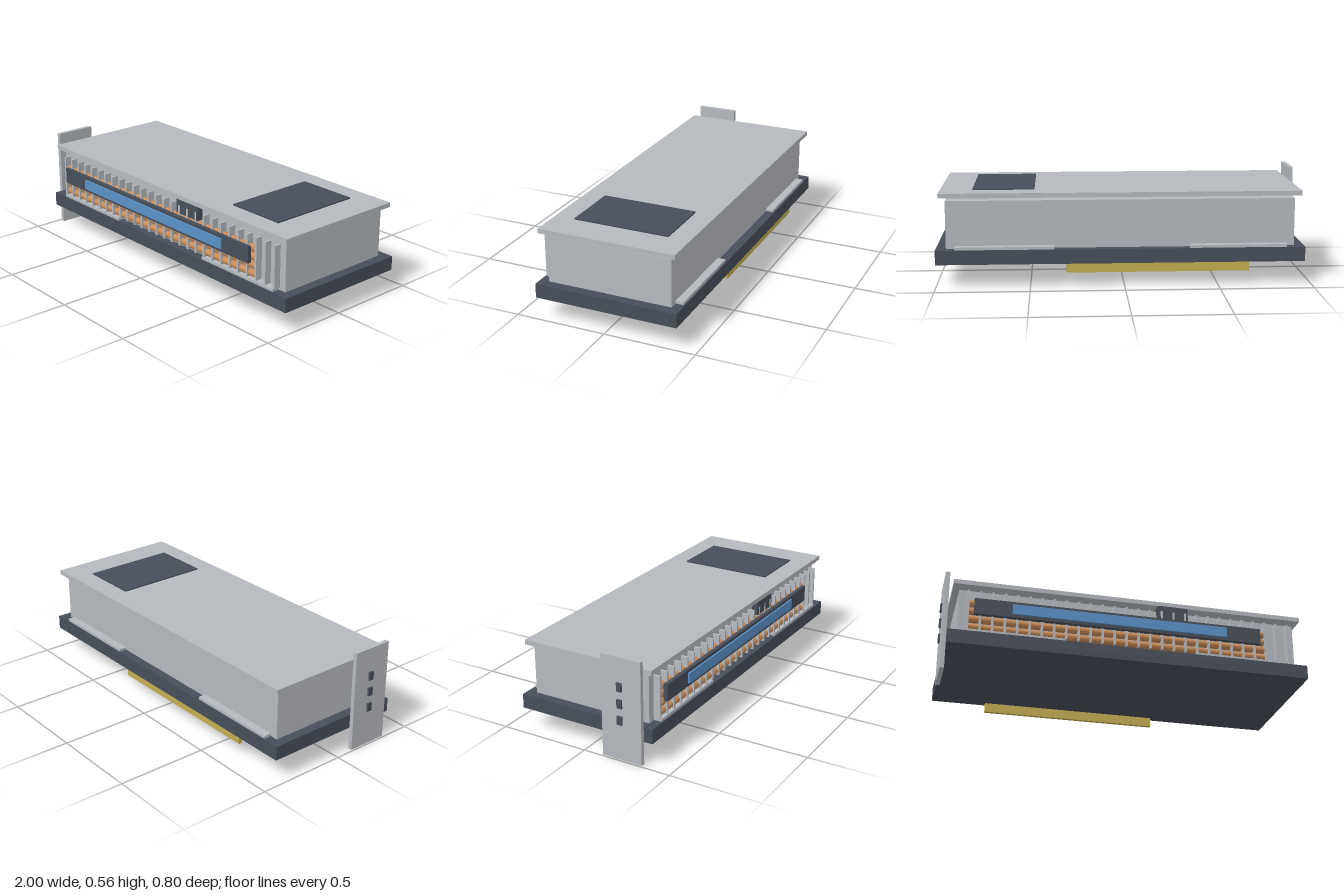
import * as THREE from 'three';

const material = (name, color) => {
  const m = new THREE.MeshStandardMaterial({ color });
  m.name = name;
  return m;
};

export function createModel() {
  const group = new THREE.Group();
  const silver = material('silver', 0xb5b9be);
  const slate = material('slate', 0x474e5a);
  const blue = material('blue', 0x5a92c8);
  const copper = material('copper', 0xc98a54);
  const gold = material('gold', 0xc4ad50);

  // Box given by its extents on each axis
  const box = (name, mat, [x0, x1], [y0, y1], [z0, z1]) => {
    const mesh = new THREE.Mesh(new THREE.BoxGeometry(x1 - x0, y1 - y0, z1 - z0), mat);
    mesh.position.set((x0 + x1) / 2, (y0 + y1) / 2, (z0 + z1) / 2);
    mesh.name = name;
    group.add(mesh);
    return mesh;
  };

  // Main slabs
  box('baseBoard', slate, [-0.967, 1], [0.123, 0.2], [-0.4, 0.385]);
  box('heatsinkBody', silver, [-0.914, 0.946], [0.2, 0.457], [-0.35, 0.335]);
  box('topPlate', silver, [-0.947, 0.979], [0.476, 0.501], [-0.383, 0.368]);
  box('topPad', slate, [0.475, 0.805], [0.47, 0.508], [-0.268, 0.255]);
  box('edgeContacts', gold, [-0.668, 0.31], [0.071, 0.123], [-0.383, -0.364]);

  // Low rails along the front and back edges of the board
  for (const [x0, x1] of [[-0.87, -0.35], [0.37, 0.9]]) {
    box('frontRail', silver, [x0, x1], [0.2, 0.215], [0.335, 0.378]);
    box('backRail', silver, [x0, x1], [0.2, 0.215], [-0.393, -0.35]);
  }

  // Cooling fins
  for (let i = 0; i < 28; i++) {
    const x = -0.867 + i * 0.0655;
    box('fin', silver, [x - 0.006, x + 0.006], [0.215, 0.445], [0.33, 0.373]);
  }

  // Heat pipes threaded through the fins
  for (let i = 0; i < 4; i++) {
    const pipe = new THREE.Mesh(new THREE.CylinderGeometry(0.019, 0.019, 1.625, 16), copper);
    pipe.rotation.z = Math.PI / 2;
    pipe.position.set(-0.048, 0.237 + i * 0.046, 0.349);
    pipe.name = 'heatPipe';
    group.add(pipe);
  }

  // Front bar with light strip, and power socket
  box('frontBar', slate, [-0.835, 0.735], [0.3, 0.39], [0.37, 0.391]);
  box('lightStrip', blue, [-0.635, 0.54], [0.317, 0.373], [0.391, 0.4]);
  box('powerSocket', slate, [0.16, 0.328], [0.4, 0.476], [0.293, 0.371]);

  // Mounting bracket with ports
  box('bracket', silver, [-0.99, -0.967], [0, 0.557], [0.107, 0.336]);
  for (const y of [0.22, 0.31, 0.4]) {
    box('port', slate, [-1, -0.985], [y - 0.023, y + 0.023], [0.201, 0.229]);
  }

  return group;
}
